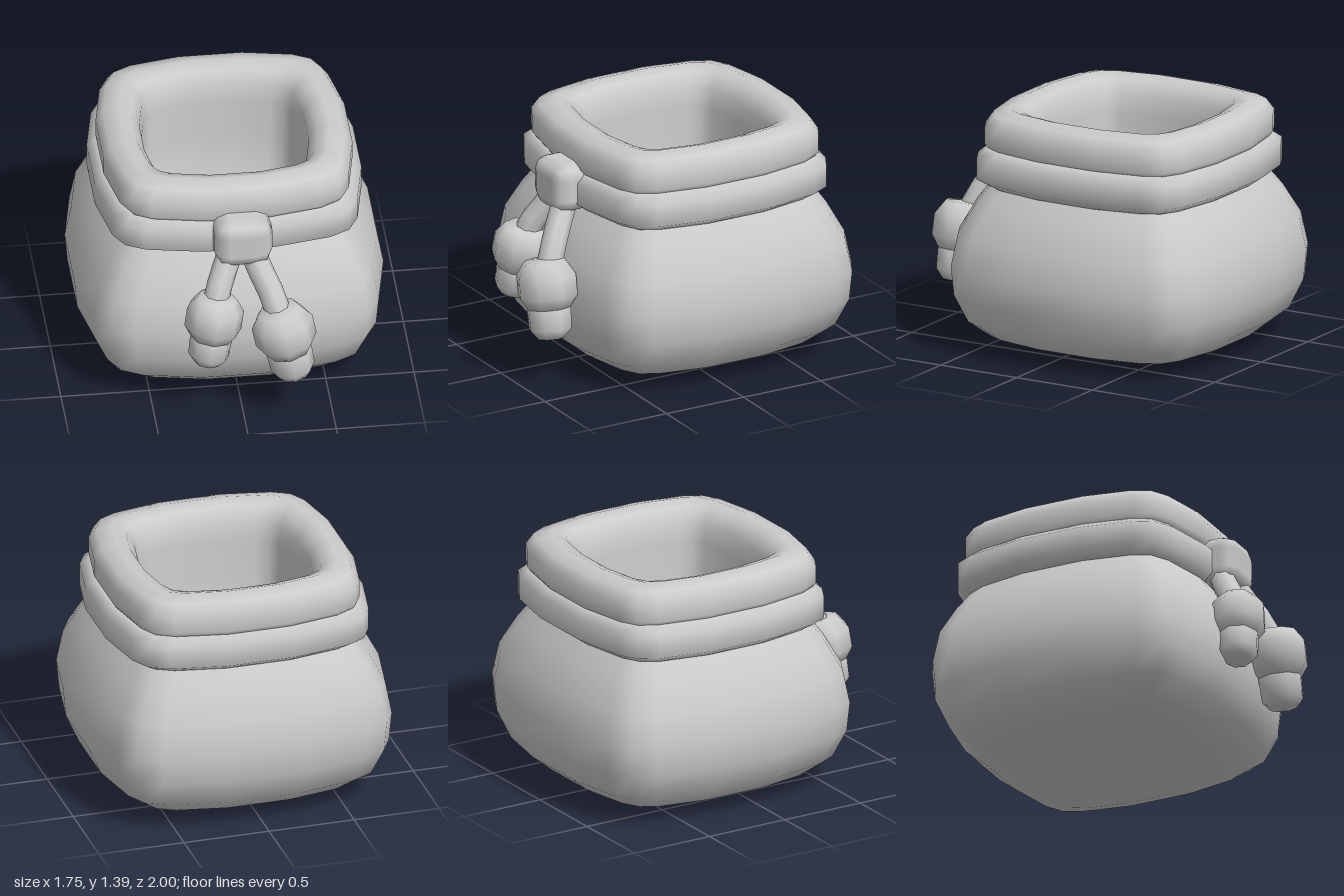
import * as THREE from 'three';
import { RoundedBoxGeometry } from 'three/addons/geometries/RoundedBoxGeometry.js';

const material = new THREE.MeshStandardMaterial({ color: 0xcccccc });
const CENTER_Z = -0.13;

// One quarter of the soft square outline, repeated four times around.
const QUARTER = [[1, -0.27], [1, 0.27], [0.92, 0.69], [0.84, 0.84], [0.69, 0.92]];
const RING = [];
for (let q = 0; q < 4; q++) {
  for (const [a, b] of QUARTER.slice(1)) {
    RING.push([[a, b], [-b, a], [-a, -b], [b, -a]][q]);
  }
  RING.push([[0.27, 1], [-1, 0.27], [-0.27, -1], [1, -0.27]][q]);
}

// Sweeps a [half width, height] profile around the soft square.
function squareLathe(name, profile, depthScale = 1) {
  const n = RING.length, positions = [], index = [];
  for (const [r, y] of profile) {
    for (const [x, z] of RING) positions.push(x * r, y, z * r * depthScale);
  }
  for (let j = 0; j < profile.length - 1; j++) {
    for (let i = 0; i < n; i++) {
      const a = j * n + i, b = j * n + (i + 1) % n;
      index.push(a, a + n, b, b, a + n, b + n);
    }
  }
  const geometry = new THREE.BufferGeometry();
  geometry.setAttribute('position', new THREE.Float32BufferAttribute(positions, 3));
  geometry.setIndex(index);
  geometry.computeVertexNormals();
  const mesh = new THREE.Mesh(geometry, material);
  mesh.name = name;
  mesh.position.z = CENTER_Z;
  return mesh;
}

// A cord hanging from the knot, ending in a bead and a blunt tip.
function tassel(name, path, bead, direction, scale) {
  const group = new THREE.Group();
  group.name = name;
  const curve = new THREE.CatmullRomCurve3(path.map(p => new THREE.Vector3(...p)));
  const cord = new THREE.Mesh(new THREE.TubeGeometry(curve, 5, 0.073, 8), material);
  cord.name = 'cord';
  group.add(cord);

  const end = new THREE.Group();
  end.name = 'cordEnd';
  const profiles = {
    bead: [[0.001, -0.15], [0.12, -0.14], [0.175, -0.06], [0.175, 0.06], [0.12, 0.14], [0.001, 0.15]],
    tip: [[0.001, -0.315], [0.08, -0.305], [0.125, -0.25], [0.13, -0.14], [0.1, -0.05]],
  };
  for (const [part, points] of Object.entries(profiles)) {
    const geometry = new THREE.LatheGeometry(points.map(p => new THREE.Vector2(...p)), 8);
    const mesh = new THREE.Mesh(geometry, material);
    mesh.name = part;
    end.add(mesh);
  }
  end.position.set(...bead);
  end.scale.setScalar(scale);
  end.quaternion.setFromUnitVectors(
    new THREE.Vector3(0, -1, 0), new THREE.Vector3(...direction).normalize());
  group.add(end);
  return group;
}

export function createModel() {
  const model = new THREE.Group();
  model.name = 'pouch';

  // Bulging sack
  model.add(squareLathe('body', [
    [0.001, 0], [0.22, 0], [0.56, 0.04], [0.68, 0.08], [0.79, 0.17], [0.86, 0.33],
    [0.875, 0.5], [0.84, 0.69], [0.75, 0.86], [0.68, 0.96], [0.62, 1.05],
  ], 0.99));

  // Tied band around the neck
  model.add(squareLathe('neckBand', [
    [0.6, 0.96], [0.69, 0.955], [0.755, 1.0], [0.755, 1.13], [0.7, 1.175], [0.6, 1.18],
  ], 0.975));

  // Rolled rim, continuing down into the hollow
  model.add(squareLathe('rimAndLining', [
    [0.62, 1.15], [0.68, 1.165], [0.705, 1.2], [0.705, 1.3], [0.665, 1.365], [0.58, 1.39],
    [0.51, 1.365], [0.465, 1.29], [0.455, 1.18], [0.45, 0.95], [0.43, 0.72],
    [0.36, 0.56], [0.2, 0.49], [0.001, 0.48],
  ]));

  // Knot at the front
  const knot = new THREE.Mesh(new RoundedBoxGeometry(0.33, 0.29, 0.28, 1, 0.085), material);
  knot.name = 'knot';
  knot.position.set(0.015, 1.085, 0.59);
  model.add(knot);

  model.add(tassel('leftTassel',
    [[0.05, 1.05, 0.59], [0.1, 0.92, 0.67], [0.17, 0.77, 0.76], [0.21, 0.62, 0.82]],
    [0.225, 0.58, 0.83], [0.04, -0.2, 0.005], 1));
  model.add(tassel('rightTassel',
    [[-0.03, 1.05, 0.59], [-0.09, 0.92, 0.66], [-0.14, 0.8, 0.73], [-0.165, 0.68, 0.77]],
    [-0.165, 0.66, 0.775], [-0.03, -0.2, 0.02], 0.93));

  return model;
}
